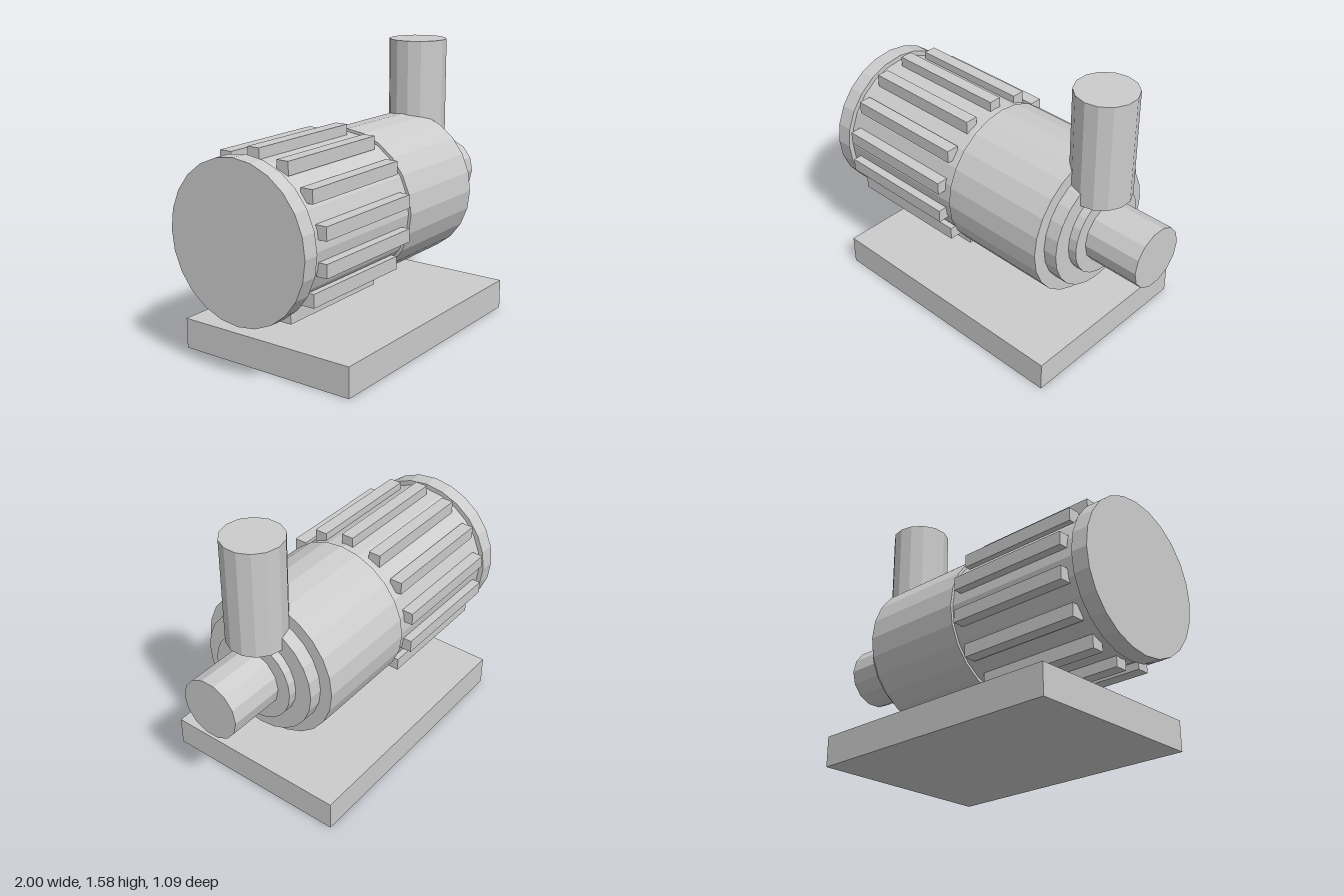
import * as THREE from 'three';

const AXIS_Y = 0.74;

export function createModel() {
  const group = new THREE.Group();
  const grey = new THREE.MeshStandardMaterial({ color: 0xcccccc, flatShading: true });
  grey.name = 'light grey';

  const add = (name, geometry, x, y, z, parent = group) => {
    const mesh = new THREE.Mesh(geometry, grey);
    mesh.name = name;
    mesh.position.set(x, y, z);
    parent.add(mesh);
    return mesh;
  };

  // Horizontal cylinder on the pump axis, from x0 to x1
  const drum = (name, x0, x1, radius, sides = 24) => {
    const geometry = new THREE.CylinderGeometry(radius, radius, x1 - x0, sides).rotateZ(-Math.PI / 2);
    return add(name, geometry, (x0 + x1) / 2, AXIS_Y, 0);
  };

  // Base plate
  add('basePlate', new THREE.BoxGeometry(1.53, 0.17, 1.086), -0.047, 0.085, 0);

  // Motor, casing and stepped nose
  drum('endCap', -1, -0.907, 0.43);
  drum('motorBody', -0.907, -0.08, 0.402);
  drum('pumpCasing', -0.08, 0.545, 0.418);
  drum('casingStep', 0.545, 0.625, 0.346);
  drum('innerStep', 0.625, 0.675, 0.248);
  drum('inletPipe', 0.675, 1, 0.173, 14);

  // Outlet pipe
  add('outletPipe', new THREE.CylinderGeometry(0.167, 0.167, 0.613, 14), 0.622, 1.2735, 0);

  // Cooling fins, square bars kept upright around the motor
  const fins = new THREE.Group();
  fins.name = 'coolingFins';
  group.add(fins);
  const finGeometry = new THREE.BoxGeometry(0.72, 0.073, 0.073);
  for (let i = 0; i < 14; i++) {
    const a = (i / 14) * Math.PI * 2;
    add('coolingFin', finGeometry, -0.493, AXIS_Y + 0.419 * Math.cos(a), 0.419 * Math.sin(a), fins);
  }

  return group;
}
